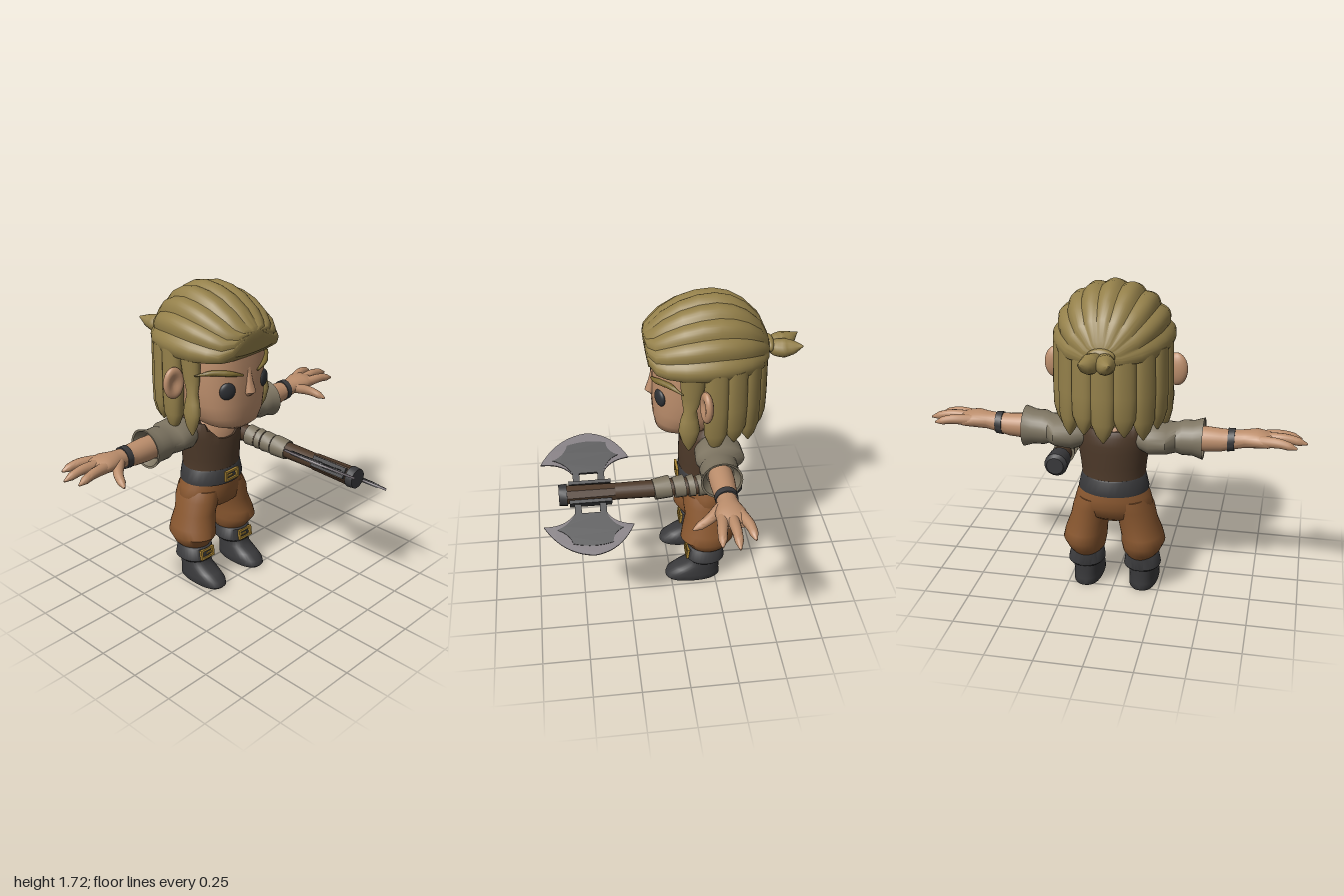
import * as THREE from 'three';
import { toCreasedNormals } from 'three/addons/utils/BufferGeometryUtils.js';

const mat = (name, color) => {
  const m = new THREE.MeshStandardMaterial({ color });
  m.name = name;
  return m;
};

// Closed skin over a list of equal-length rings of points
function skin(rings, crease = 0.8) {
  const n = rings[0].length, pos = [], idx = [];
  rings.forEach(r => r.forEach(p => pos.push(p.x, p.y, p.z)));
  for (let i = 0; i < rings.length - 1; i++)
    for (let j = 0; j < n; j++) {
      const a = i * n + j, b = i * n + (j + 1) % n;
      idx.push(a, a + n, b, b, a + n, b + n);
    }
  [0, rings.length - 1].forEach((k, top) => {
    const c = new THREE.Vector3();
    rings[k].forEach(p => c.addScaledVector(p, 1 / n));
    const ci = pos.length / 3;
    pos.push(c.x, c.y, c.z);
    for (let j = 0; j < n; j++) {
      const a = k * n + j, b = k * n + (j + 1) % n;
      if (top) idx.push(ci, b, a); else idx.push(ci, a, b);
    }
  });
  const g = new THREE.BufferGeometry();
  g.setAttribute('position', new THREE.Float32BufferAttribute(pos, 3));
  g.setIndex(idx);
  return toCreasedNormals(g, crease);
}

// Upright loft, each ring is [y, centre x, centre z, radius x, radius z]; p squares the section
function loft(rings, p = 2, n = 32, rule = null) {
  const e = 2 / p, sp = v => Math.sign(v) * Math.abs(v) ** e;
  return skin(rings.map(([y, cx, cz, rx, rz]) => Array.from({ length: n }, (_, j) => {
    const a = j / n * Math.PI * 2;
    const v = new THREE.Vector3(cx + rx * sp(Math.cos(a)), y, cz + rz * sp(Math.sin(a)));
    if (rule) rule(v);
    return v;
  })));
}

// Loft laid along the arm, each ring is [x, drop, z offset, half height, half depth]
const limb = rings => loft(rings, 2, 28).rotateZ(-Math.PI / 2).translate(0, 0.91, -0.22);

// Tapered round strand along a curve
function strand(points, radii, n = 12, steps = 14) {
  const curve = new THREE.CatmullRomCurve3(points.map(p => new THREE.Vector3(...p)));
  const f = curve.computeFrenetFrames(steps);
  return skin(Array.from({ length: steps + 1 }, (_, i) => {
    const t = i / steps, k = Math.min(t * (radii.length - 1), radii.length - 1.0001), q = Math.floor(k);
    const r = THREE.MathUtils.lerp(radii[q], radii[q + 1], k - q), c = curve.getPointAt(t);
    return Array.from({ length: n }, (_, j) => {
      const a = j / n * Math.PI * 2;
      return c.clone().addScaledVector(f.binormals[i], r * Math.cos(a)).addScaledVector(f.normals[i], r * Math.sin(a));
    });
  }));
}

// Copy reflected in x with the corner order turned round
function mirrored(geo) {
  const g = geo.index ? geo.toNonIndexed() : geo.clone();
  g.scale(-1, 1, 1);
  for (const a of [g.attributes.position, g.attributes.normal])
    for (let i = 0; i < a.count; i += 3) {
      const [x, y, z] = [a.getX(i), a.getY(i), a.getZ(i)];
      a.setXYZ(i, a.getX(i + 2), a.getY(i + 2), a.getZ(i + 2));
      a.setXYZ(i + 2, x, y, z);
    }
  return g;
}

export function createModel() {
  const root = new THREE.Group();
  root.name = 'warrior';
  const flesh = mat('skin', 0xbc8e6c), hair = mat('hair', 0x94804a), brown = mat('trouserBrown', 0x8a5830);
  const leather = mat('darkLeather', 0x4e3a2a), cloth = mat('sleeveCloth', 0x7f7663), dark = mat('charcoal', 0x3a3a3c);
  const gold = mat('gold', 0xb08a36), steel = mat('steelEdge', 0x716a6f), eyeMat = mat('eye', 0x2e3034), browMat = mat('brow', 0x7c6a32);
  const add = (name, geo, m, parent = root) => {
    const mesh = new THREE.Mesh(geo, m);
    mesh.name = name;
    parent.add(mesh);
    return mesh;
  };
  const pair = (name, geo, m) => {
    add(name + 'Left', geo, m);
    add(name + 'Right', mirrored(geo), m);
  };
  const ball = (x, y, z, sx, sy, sz, turn = 0) => new THREE.SphereGeometry(1, 24, 16).scale(sx, sy, sz).rotateY(turn).translate(x, y, z);

  // Head and face
  add('head', loft([[0.975, 0, -0.06, 0.1, 0.11], [0.995, 0, -0.085, 0.155, 0.155], [1.05, 0, -0.12, 0.2, 0.2],
    [1.12, 0, -0.16, 0.222, 0.245], [1.2, 0, -0.18, 0.232, 0.265], [1.35, 0, -0.19, 0.235, 0.273], [1.46, 0, -0.2, 0.22, 0.27]], 2.6, 48), flesh);
  add('nose', loft([[1.163, 0, 0.078, 0.02, 0.015], [1.185, 0, 0.085, 0.033, 0.035], [1.24, 0, 0.078, 0.022, 0.024], [1.32, 0, 0.07, 0.014, 0.014]], 2, 16), flesh);
  add('neck', loft([[0.9, 0, -0.22, 0.11, 0.1], [1.06, 0, -0.21, 0.1, 0.1]]), flesh);
  pair('eye', ball(0.135, 1.215, 0.055, 0.045, 0.047, 0.02, 0.4), eyeMat);
  pair('eyebrow', strand([[0.055, 1.29, 0.09], [0.12, 1.312, 0.075], [0.2, 1.322, 0.012], [0.275, 1.312, -0.045]], [0.006, 0.016, 0.015, 0.003]), browMat);
  const ear = ball(0, 0, 0, 0.06, 0.087, 0.035), ep = ear.attributes.position;
  for (let i = 0; i < ep.count; i++) // hollow of the ear
    if (ep.getZ(i) > 0) ep.setZ(i, ep.getZ(i) - 0.035 * Math.exp(-((ep.getX(i) / 0.035) ** 2 + (ep.getY(i) / 0.05) ** 2)));
  ear.computeVertexNormals();
  pair('ear', ear.rotateY(0.2).translate(0.315, 1.255, -0.155), flesh);

  // Swept-back hair: scalloped sections [z, base y, height, half width] from front to back
  const sections = [[0.125, 1.5, 0.03, 0.06], [0.115, 1.43, 0.12, 0.16], [0.08, 1.4, 0.18, 0.225], [0.03, 1.395, 0.232, 0.265],
    [-0.06, 1.39, 0.29, 0.298], [-0.15, 1.39, 0.318, 0.31], [-0.24, 1.39, 0.326, 0.306], [-0.32, 1.387, 0.312, 0.287],
    [-0.39, 1.385, 0.275, 0.252], [-0.466, 1.385, 0.2, 0.19], [-0.51, 1.388, 0.1, 0.1], [-0.53, 1.41, 0.01, 0.01]];
  add('hairTop', skin(sections.map(([z, y, h, w]) => Array.from({ length: 108 }, (_, j) => {
    const top = j < 72, a = top ? j / 72 * Math.PI : Math.PI * (1 + (j - 72) / 36);
    const f = top ? 0.95 + 0.06 * Math.abs(Math.sin(9 * a)) : 0.95;
    return new THREE.Vector3(w * f * Math.cos(a), y + (top ? h * f : 0.02) * Math.sin(a), z);
  })), 0.5), hair);
  add('hairUnder', loft([[1.03, 0, -0.27, 0.22, 0.18], [1.12, 0, -0.27, 0.25, 0.2], [1.42, 0, -0.27, 0.25, 0.2]]), hair);
  for (let i = 0; i < 9; i++) { // hanging locks round the back
    const a = i / 8 * Math.PI, drop = i % 2 ? 0.03 : 0;
    const lock = loft([[0.955 + drop, 0, 0, 0.004, 0.004], [1.0 + drop, 0, 0, 0.036, 0.028], [1.06 + drop, 0, 0, 0.06, 0.042],
      [1.2, 0, 0, 0.064, 0.044], [1.42, 0, 0, 0.06, 0.04]], 2.3, 20);
    add('hairLock', lock.rotateY(a - Math.PI / 2).translate(Math.cos(a) * 0.265, 0, -0.215 - Math.sin(a) * 0.265), hair);
  }
  pair('sideLock', loft([[0.965, 0.262, -0.08, 0.004, 0.008], [1.02, 0.263, -0.08, 0.026, 0.036], [1.09, 0.262, -0.08, 0.034, 0.056], [1.15, 0.256, -0.08, 0.03, 0.046],
    [1.2, 0.25, -0.085, 0.025, 0.034], [1.28, 0.245, -0.095, 0.032, 0.055], [1.42, 0.248, -0.1, 0.036, 0.07]], 2, 20), hair);
  add('hairKnot', ball(0, 1.42, -0.525, 0.07, 0.04, 0.026), hair);
  pair('hairTail', strand([[0.005, 1.42, -0.51], [0.03, 1.405, -0.57], [0.045, 1.41, -0.63], [0.073, 1.43, -0.69]], [0.018, 0.045, 0.05, 0.035, 0.003]), hair);

  // Chest, and a tunic cut to a scooped neckline
  add('chest', loft([[0.75, 0, -0.215, 0.16, 0.135], [0.86, 0, -0.215, 0.175, 0.141], [0.93, 0, -0.22, 0.178, 0.132],
    [0.98, 0, -0.225, 0.15, 0.105], [1.02, 0, -0.22, 0.1, 0.09]]), flesh);
  add('tunic', loft([[0.6, 0, -0.21, 0.175, 0.15], [0.67, 0, -0.21, 0.167, 0.147], [0.75, 0, -0.21, 0.175, 0.15], [0.84, 0, -0.215, 0.187, 0.153],
    [0.88, 0, -0.217, 0.193, 0.151], [0.93, 0, -0.22, 0.199, 0.145], [0.97, 0, -0.225, 0.195, 0.125], [1.0, 0, -0.23, 0.175, 0.1]], 2, 64, v => {
    const low = v.z > -0.2 ? 0.87 : 0.96;
    v.y = Math.min(v.y, low + (1.01 - low) * Math.min(1, Math.abs(v.x) / 0.14) ** 3);
  }), leather);

  // Belt, trousers and boots
  add('belt', loft([[0.6, 0, -0.21, 0.188, 0.16], [0.61, 0, -0.21, 0.188, 0.161], [0.68, 0, -0.21, 0.172, 0.153], [0.687, 0, -0.21, 0.168, 0.149]]), dark);
  add('trouserSeat', loft([[0.43, 0, -0.21, 0.1, 0.09], [0.46, 0, -0.21, 0.195, 0.13], [0.52, 0, -0.215, 0.212, 0.148],
    [0.57, 0, -0.215, 0.198, 0.153], [0.63, 0, -0.21, 0.174, 0.149]]), brown);
  pair('trouserLeg', loft([[0.205, 0.15, -0.21, 0.075, 0.09], [0.235, 0.152, -0.21, 0.1, 0.112], [0.29, 0.16, -0.205, 0.118, 0.149], [0.34, 0.153, -0.207, 0.113, 0.142],
    [0.42, 0.13, -0.21, 0.106, 0.126], [0.5, 0.11, -0.212, 0.108, 0.138], [0.56, 0.09, -0.215, 0.1, 0.135]]), brown);
  pair('boot', loft([[0, 0.155, -0.125, 0.073, 0.148], [0.01, 0.155, -0.125, 0.079, 0.156], [0.04, 0.155, -0.128, 0.078, 0.15], [0.07, 0.155, -0.15, 0.075, 0.127],
    [0.1, 0.155, -0.18, 0.073, 0.098], [0.14, 0.155, -0.19, 0.073, 0.09], [0.2, 0.155, -0.19, 0.075, 0.09]], 2.4), dark);
  pair('bootCuff', loft([[0.135, 0.155, -0.197, 0.092, 0.1], [0.145, 0.155, -0.197, 0.1, 0.108], [0.215, 0.153, -0.197, 0.088, 0.1], [0.222, 0.153, -0.197, 0.08, 0.09]], 2.2), dark);

  // Buckles: framed plates with a prong
  const rect = (s, w, h) => s.moveTo(-w, -h).lineTo(w, -h).lineTo(w, h).lineTo(-w, h).closePath();
  const frame = new THREE.Shape(), gap = new THREE.Path();
  rect(frame, 0.05, 0.03);
  rect(gap, 0.036, 0.017);
  frame.holes.push(gap);
  const buckle = () => new THREE.ExtrudeGeometry(frame, { depth: 0.014, bevelEnabled: false });
  const prong = () => new THREE.BoxGeometry(0.036, 0.009, 0.01).translate(-0.012, 0, 0.008);
  for (const part of [buckle, prong]) {
    add('beltBuckle', part().translate(0, 0.645, -0.056), gold);
    pair('bootBuckle', part().rotateX(-0.12).translate(0.155, 0.182, -0.1), gold);
  }

  // Arms and hands
  pair('sleeve', limb([[0.13, 0, -0.02, 0.06, 0.08], [0.2, 0, -0.02, 0.09, 0.123], [0.29, 0, -0.02, 0.079, 0.128], [0.335, 0, -0.005, 0.077, 0.094], [0.365, 0, 0, 0.09, 0.1],
    [0.42, 0, 0, 0.091, 0.097], [0.472, 0, 0, 0.109, 0.108], [0.47, 0, 0, 0.098, 0.097], [0.42, 0, 0, 0.07, 0.07]]), cloth);
  pair('forearm', limb([[0.36, 0, 0, 0.062, 0.062], [0.48, 0, 0, 0.066, 0.064], [0.56, 0, 0, 0.06, 0.059], [0.62, -0.005, 0.003, 0.051, 0.051],
    [0.68, -0.015, 0.005, 0.046, 0.056], [0.74, -0.022, 0.005, 0.046, 0.076], [0.8, -0.02, 0, 0.036, 0.08], [0.835, -0.018, 0, 0.02, 0.066]]), flesh);
  pair('wristband', limb([[0.595, -0.004, 0.002, 0.061, 0.058], [0.63, -0.006, 0.002, 0.059, 0.057]]), dark);
  const fingers = [[[0.76, 0.935, -0.26], [0.86, 0.942, -0.29], [0.945, 0.925, -0.303]], [[0.77, 0.935, -0.215], [0.89, 0.942, -0.22], [0.995, 0.92, -0.22]],
    [[0.76, 0.93, -0.175], [0.87, 0.935, -0.155], [0.965, 0.915, -0.142]], [[0.68, 0.92, -0.18], [0.74, 0.9, -0.115], [0.775, 0.868, -0.03]]];
  for (const pts of fingers) pair('finger', strand(pts, [0.03, 0.029, 0.027, 0.024, 0.021, 0.005], 14, 15), flesh);

  // Double-bladed axe lying along z, its blades tipped to one side
  const axe = new THREE.Group();
  axe.name = 'axe';
  axe.position.set(0.285, 0.748, 0);
  axe.rotation.z = -0.557;
  root.add(axe);
  const rod = (name, z0, z1, r0, r1, m, tilt = 0, n = 16) => add(name,
    toCreasedNormals(new THREE.CylinderGeometry(r1, r0, z1 - z0, n), 0.6).rotateX(Math.PI / 2).rotateY(tilt).translate(0, 0, (z0 + z1) / 2), m, axe);
  rod('axeHandle', -0.3, 0.58, 0.05, 0.041, leather);
  rod('axePommel', -0.335, -0.24, 0.062, 0.058, dark);
  rod('axePommelEnd', -0.355, -0.335, 0.045, 0.062, dark);
  rod('axeHeadBlock', 0.31, 0.565, 0.047, 0.052, leather, 0, 8);
  rod('axeTopCap', 0.56, 0.603, 0.058, 0.054, dark);
  for (const [z0, z1] of [[0.02, 0.11], [-0.055, 0.005], [-0.105, -0.07], [-0.18, -0.12]]) rod('gripWrap', z0, z1, 0.06, 0.055, cloth, 0.15);

  const edge = new THREE.Shape();
  edge.moveTo(0.185, 0.225).quadraticCurveTo(0.325, 0.3, 0.336, 0.44).quadraticCurveTo(0.32, 0.6, 0.17, 0.69)
    .quadraticCurveTo(0.175, 0.58, 0.112, 0.53).lineTo(0.112, 0.36).quadraticCurveTo(0.175, 0.33, 0.185, 0.225);
  const core = new THREE.Shape();
  core.moveTo(0.2, 0.28).quadraticCurveTo(0.225, 0.34, 0.275, 0.34).quadraticCurveTo(0.3, 0.44, 0.27, 0.545)
    .quadraticCurveTo(0.215, 0.56, 0.19, 0.625).quadraticCurveTo(0.17, 0.56, 0.11, 0.525).lineTo(0.11, 0.365).quadraticCurveTo(0.18, 0.34, 0.2, 0.28);
  const plate = (shape, t) => new THREE.ExtrudeGeometry(shape, { depth: t, bevelEnabled: false, curveSegments: 10 }).translate(0, 0, -t / 2).rotateX(Math.PI / 2);
  for (const turn of [0, Math.PI]) {
    add('bladeEdge', plate(edge, 0.012).rotateZ(turn), steel, axe);
    add('bladeCore', plate(core, 0.022).rotateZ(turn), dark, axe);
    add('bladeStrap', new THREE.BoxGeometry(0.018, 0.06, 0.22).translate(0.052, 0, 0.44).rotateZ(turn), dark, axe);
    for (const z of [0.378, 0.508]) add('bladeProng', new THREE.BoxGeometry(0.08, 0.022, 0.035).translate(0.085, 0, z).rotateZ(turn), dark, axe);
  }
  return root;
}
